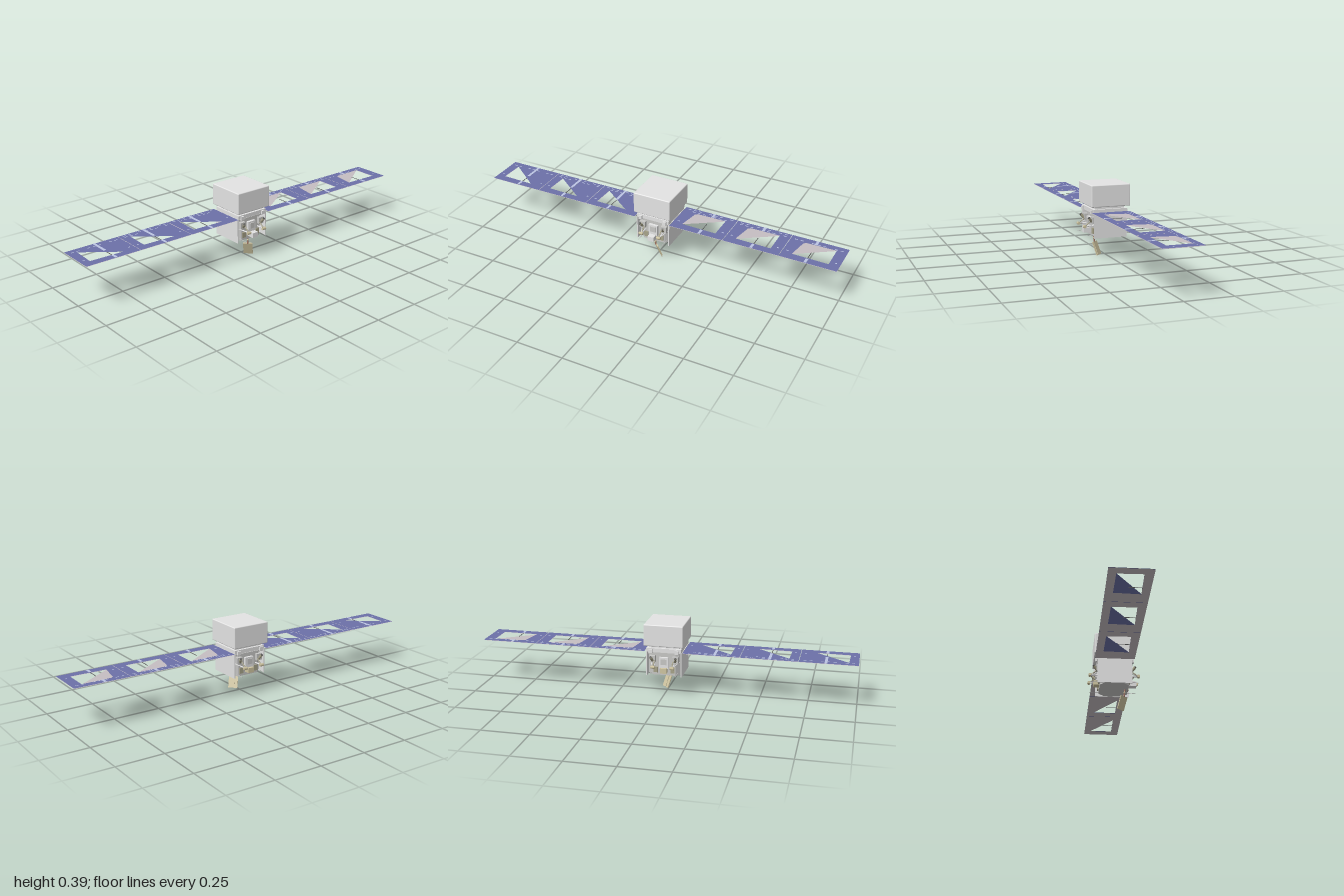
import * as THREE from 'three';
import { RoundedBoxGeometry } from 'three/addons/geometries/RoundedBoxGeometry.js';

const mat = (name, color, side = THREE.FrontSide) => {
  const m = new THREE.MeshStandardMaterial({ color, side });
  m.name = name;
  return m;
};

export function createModel() {
  const M = {
    white: mat('light grey', 0xe4e4e4),
    grey: mat('mid grey', 0xc8c8c6),
    dark: mat('dark grey', 0x5c5c5c),
    blue: mat('solar blue', 0x6c71a8, THREE.DoubleSide),
    back: mat('panel backing', 0xc6bec2, THREE.DoubleSide),
    strip: mat('pale blue strip', 0xbcc4e4),
    tan: mat('tan', 0xd0c6a2),
    olive: mat('olive', 0xa8a48a),
    copper: mat('copper', 0xa87868),
  };
  const root = new THREE.Group();
  root.name = 'satellite';

  const add = (parent, name, geo, m, x = 0, y = 0, z = 0) => {
    const mesh = new THREE.Mesh(geo, m);
    mesh.name = name;
    mesh.position.set(x, y, z);
    parent.add(mesh);
    return mesh;
  };
  const box = (parent, name, m, w, h, d, x, y, z) =>
    add(parent, name, new THREE.BoxGeometry(w, h, d), m, x, y, z);
  // Cylinder running from point a to point b
  const rod = (parent, name, m, a, b, r, r2 = r, sides = 8) => {
    const p = new THREE.Vector3(...a), q = new THREE.Vector3(...b);
    const d = q.clone().sub(p);
    const mesh = add(parent, name, new THREE.CylinderGeometry(r2, r, d.length(), sides), m);
    mesh.position.copy(p).add(q).multiplyScalar(0.5);
    mesh.quaternion.setFromUnitVectors(new THREE.Vector3(0, 1, 0), d.normalize());
  };

  // Upper instrument box and stepped neck
  add(root, 'instrumentBox', new RoundedBoxGeometry(0.21, 0.116, 0.214, 2, 0.005), M.white, 0, 0.331, 0);
  box(root, 'neck', M.white, 0.16, 0.016, 0.16, 0, 0.266, 0);
  box(root, 'upperDeck', M.white, 0.186, 0.02, 0.186, 0, 0.25, 0);
  for (const x of [-0.07, 0.07])
    for (const z of [-0.097, 0.097]) box(root, 'deckBracket', M.white, 0.02, 0.02, 0.01, x, 0.245, z);

  // Eight-sided bus between two flat side plates
  const outline = [[-0.09, -0.045], [-0.06, -0.076], [0.06, -0.076], [0.09, -0.045],
    [0.09, 0.045], [0.06, 0.076], [-0.06, 0.076], [-0.09, 0.045]];
  const busGeo = new THREE.ExtrudeGeometry(
    new THREE.Shape(outline.map(p => new THREE.Vector2(...p))), { depth: 0.13, bevelEnabled: false });
  busGeo.rotateX(-Math.PI / 2);
  add(root, 'bus', busGeo, M.grey, 0, 0.11, 0);
  for (const s of [-1, 1]) box(root, 'sidePlate', M.white, 0.006, 0.132, 0.182, s * 0.093, 0.174, 0);

  // Equipment on the front and back faces
  for (const s of [1, -1]) {
    const e = new THREE.Group();
    e.name = s > 0 ? 'frontEquipment' : 'backEquipment';
    e.rotation.y = s > 0 ? 0 : Math.PI;
    root.add(e);
    box(e, 'electronicsBox', M.white, 0.05, 0.06, 0.016, 0, 0.18, 0.083);
    box(e, 'electronicsLid', M.grey, 0.03, 0.03, 0.006, 0, 0.187, 0.093);
    box(e, 'lowerUnit', s > 0 ? M.white : M.tan, 0.035, 0.027, s > 0 ? 0.045 : 0.031,
      0, 0.141, s > 0 ? 0.098 : 0.091);
    box(e, 'crossRail', M.grey, 0.17, 0.008, 0.01, 0, 0.232, 0.083);
    for (const x of [-1, 1]) {
      box(e, 'wallUnit', M.olive, 0.022, 0.03, 0.008, x * 0.045, 0.14, 0.079);
      box(e, 'sensorMount', M.grey, 0.032, 0.035, 0.018, x * 0.062, 0.2, 0.085);
      rod(e, 'sensorTube', M.olive, [x * 0.06, 0.19, 0.09], [x * 0.066, 0.212, 0.108], 0.006, 0.008, 12);
      rod(e, 'sensorHood', M.dark, [x * 0.066, 0.212, 0.108], [x * 0.067, 0.216, 0.111], 0.006, 0.006, 12);
      // Outrigger hub with its struts
      const hub = [x * 0.05, 0.167, 0.128];
      rod(e, 'upperStrut', M.olive, [x * 0.05, 0.195, 0.09], hub, 0.003);
      rod(e, 'lowerStrut', M.white, [x * 0.05, 0.165, 0.075], hub, 0.004);
      rod(e, 'sideStrut', M.white, [x * 0.078, 0.18, 0.06], hub, 0.0025);
      rod(e, 'hub', M.tan, [x * 0.04, 0.167, 0.128], [x * 0.062, 0.167, 0.128], 0.008, 0.008, 6);
      rod(e, 'thruster', M.grey, [x * 0.07, 0.124, 0.074], [x * 0.07, 0.121, 0.125], 0.0015);
    }
  }

  // Downward antenna on a jointed boom
  rod(root, 'antennaBoom', M.copper, [0, 0.112, 0.06], [0, 0.07, 0.056], 0.004);
  add(root, 'antennaJoint', new THREE.SphereGeometry(0.006, 12, 8), M.tan, 0, 0.094, 0.058);
  const lean = new THREE.Vector3(0.02, -0.07, -0.018).normalize();
  const across = new THREE.Vector3(1, 0, 1).normalize();
  const antenna = new THREE.Group();
  antenna.name = 'antenna';
  antenna.position.set(0.01, 0.038, 0.047);
  antenna.quaternion.setFromRotationMatrix(new THREE.Matrix4().makeBasis(across, lean,
    new THREE.Vector3().crossVectors(across, lean)));
  root.add(antenna);
  box(antenna, 'antennaPlate', M.tan, 0.05, 0.074, 0.005, 0, 0, 0);
  box(antenna, 'antennaFace', M.tan, 0.026, 0.07, 0.003, 0.006, 0, 0.004);

  // Solar wings: blue face over grey backing, each panel with a cut-out half filled by a triangle
  const sheet = (pts, hole) => {
    const toV = list => list.map(([x, z]) => new THREE.Vector2(x, -z));
    const shape = new THREE.Shape(toV(pts));
    shape.holes.push(new THREE.Path(toV(hole)));
    return new THREE.ShapeGeometry(shape).rotateX(-Math.PI / 2);
  };
  const stripOffsets = [0.018, 0.003, -0.014];
  for (const s of [-1, 1]) {
    const wing = new THREE.Group();
    wing.name = s > 0 ? 'leftWing' : 'rightWing';
    root.add(wing);
    for (let i = 0; i < 3; i++) {
      const panel = new THREE.Group();
      panel.name = 'solarPanel';
      panel.position.set(s * (0.25 + 0.3 * i), 0.243, 0);
      wing.add(panel);
      const w = 0.1487;
      const rect = [[-w, 0.104], [w, 0.104], [w, -0.104], [-w, -0.104]];
      const quad = s > 0
        ? [[-0.096, 0.058], [-0.076, -0.055], [-0.064, -0.066], [0.094, -0.068], [0.094, 0.062]]
        : [[-0.1, -0.065], [-0.104, 0.06], [0.072, 0.065], [0.068, -0.066]];
      const tri = s > 0 ? [quad[0], quad[3], quad[4]] : quad.slice(0, 3);
      add(panel, 'cellFace', sheet(rect, s > 0 ? quad : tri), M.blue, 0, 0.002, 0);
      add(panel, 'backing', sheet(rect, s > 0 ? tri : quad), M.back);
      // Centre strip, and the thin rod across the cut-out
      const x0 = s * stripOffsets[i];
      for (const z of [-0.086, 0.084])
        box(panel, 'centreStrip', M.strip, 0.014, 0.001, 0.036, x0, 0.003, z);
      if (s < 0) box(panel, 'centreStrip', M.strip, 0.014, 0.001, 0.068, x0, 0.003, -0.034);
      box(panel, 'centreRod', M.dark, 0.003, 0.002, 0.062, x0, 0, 0.032);
      // Small pale cell marks, densest near the body
      for (let row = 0; row < (i < 2 ? 2 : 1); row++)
        for (let k = 0; k < 9; k++) {
          if ((k + i + row) % 4 === 0) continue;
          box(panel, 'cellMark', M.strip, 0.016, 0.0006, 0.005, -0.12 + k * 0.03, 0.0026, -0.074 - row * 0.016);
        }
      for (const x of [-0.125, 0.125])
        box(panel, 'cellMark', M.strip, 0.01, 0.0006, 0.006, x, 0.0026, 0.04);
    }
  }
  return root;
}
